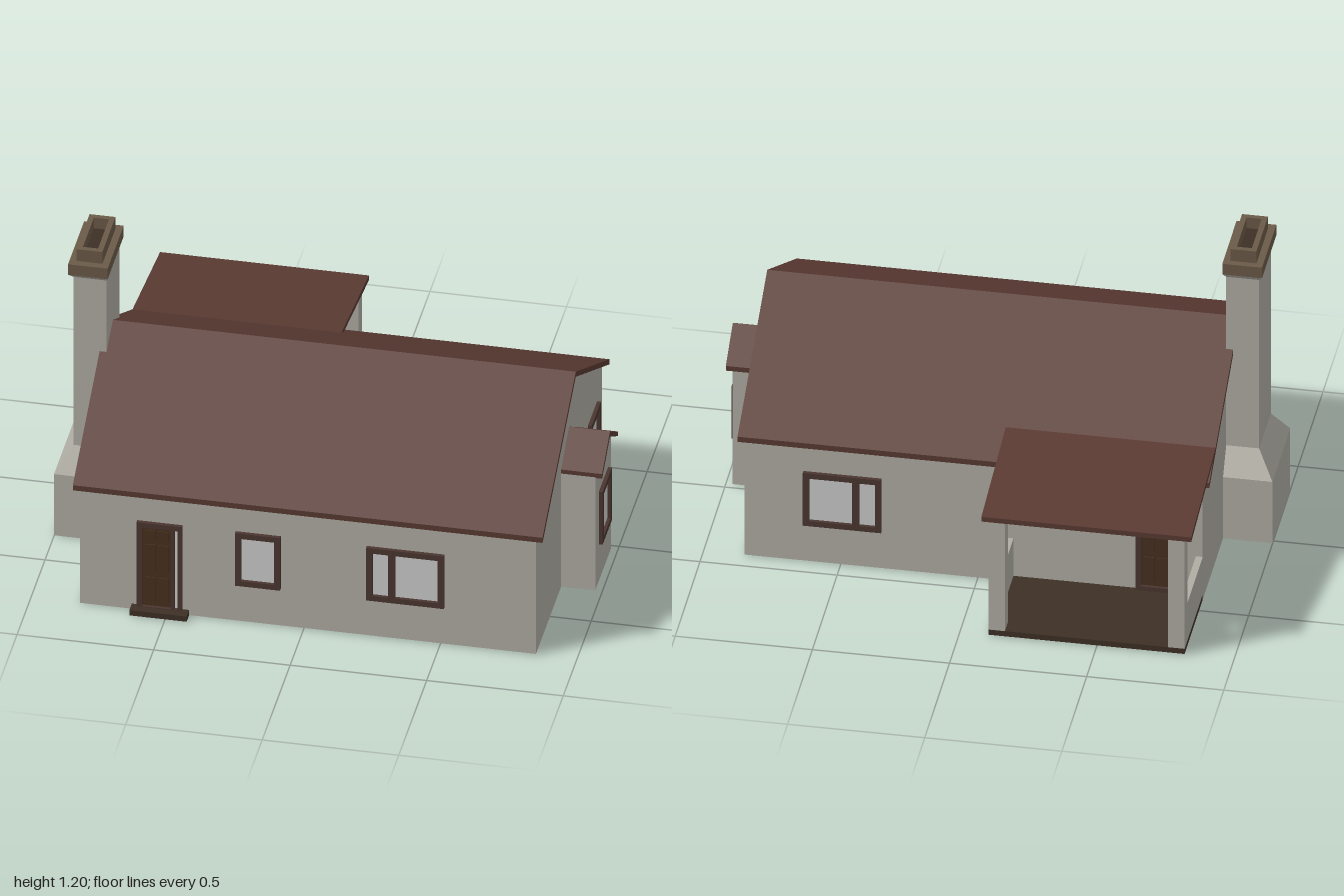
import * as THREE from 'three';

const paint = (color) => new THREE.MeshStandardMaterial({ color, flatShading: true });
const M = {
  wall: paint(0xb0ada3), roof: paint(0x5a3a32), trim: paint(0x4a3630), glass: paint(0xcccccc),
  door: paint(0x47301f), floor: paint(0x3d3025), cap: paint(0x6b5a48),
};

function add(parent, name, geometry, material) {
  const mesh = new THREE.Mesh(geometry, material);
  mesh.name = name;
  parent.add(mesh);
  return mesh;
}

// Box given by its two corners
function block(parent, name, material, [x0, x1], [y0, y1], [z0, z1]) {
  const g = new THREE.BoxGeometry(x1 - x0, y1 - y0, z1 - z0);
  g.translate((x0 + x1) / 2, (y0 + y1) / 2, (z0 + z1) / 2);
  return add(parent, name, g, material);
}

// Profile of [z, y] points extruded along x
function prism(parent, name, material, points, x0, x1) {
  const shape = new THREE.Shape(points.map((p) => new THREE.Vector2(...p)));
  const g = new THREE.ExtrudeGeometry(shape, { depth: x1 - x0, bevelEnabled: false });
  g.rotateY(-Math.PI / 2).translate(x1, 0, 0);
  return add(parent, name, g, material);
}

// Rectangles [x0, x1, z0, z1, y] joined from bottom to top, closed at both ends
function stack(parent, name, material, rings) {
  const pos = [], index = [];
  for (const [x0, x1, z0, z1, y] of rings) pos.push(x0, y, z1, x1, y, z1, x1, y, z0, x0, y, z0);
  for (let r = 0; r < rings.length - 1; r++) {
    for (let i = 0; i < 4; i++) {
      const a = r * 4 + i, b = r * 4 + (i + 1) % 4;
      index.push(a, b, b + 4, a, b + 4, a + 4);
    }
  }
  const t = (rings.length - 1) * 4;
  index.push(0, 2, 1, 0, 3, 2, t, t + 1, t + 2, t, t + 2, t + 3);
  let g = new THREE.BufferGeometry();
  g.setAttribute('position', new THREE.Float32BufferAttribute(pos, 3));
  g.setIndex(index);
  g = g.toNonIndexed();
  g.computeVertexNormals();
  return add(parent, name, g, material);
}

// Rectangular plate in the xy plane with rectangular holes [x0, x1, y0, y1]
function plate(x0, x1, y0, y1, holes, depth) {
  const corners = (a, b, c, d) => [[a, c], [b, c], [b, d], [a, d]].map((p) => new THREE.Vector2(...p));
  const shape = new THREE.Shape(corners(x0, x1, y0, y1));
  for (const h of holes) shape.holes.push(new THREE.Path(corners(...h).reverse()));
  return new THREE.ExtrudeGeometry(shape, { depth, bevelEnabled: false });
}

// Window facing +z, panes listed as [x0, x1] from its centre
function makeWindow(parent, name, width, panes, position, turn) {
  const g = new THREE.Group();
  g.name = name;
  const w = width / 2, holes = panes.map(([a, b]) => [a, b, 0.182, 0.363]);
  add(g, 'windowFrame', plate(-w, w, 0.16, 0.385, holes, 0.014), M.trim);
  for (const p of panes) block(g, 'windowPane', M.glass, p, [0.182, 0.363], [-0.005, 0.002]);
  g.position.set(...position);
  g.rotation.y = turn;
  parent.add(g);
}

// Panelled door with a narrow side light, facing +z
function makeDoor(parent, name, position, turn) {
  const g = new THREE.Group();
  g.name = name;
  const leaf = [-0.063, 0.043], light = [0.055, 0.068];
  const holes = [leaf, light].map(([a, b]) => [a, b, 0.028, 0.365]);
  add(g, 'doorFrame', plate(-0.083, 0.083, 0.01, 0.385, holes, 0.014), M.trim);
  block(g, 'doorLeaf', M.door, leaf, [0.028, 0.365], [-0.005, 0.003]);
  block(g, 'sideLight', M.glass, light, [0.028, 0.365], [-0.005, 0.002]);
  for (const x of [-0.053, -0.004])
    for (const [y0, y1] of [[0.05, 0.15], [0.18, 0.29], [0.31, 0.35]])
      block(g, 'doorPanel', M.door, [x, x + 0.037], [y0, y1], [0, 0.007]);
  g.position.set(...position);
  g.rotation.y = turn;
  parent.add(g);
}

export function createModel() {
  const model = new THREE.Group();
  model.name = 'cottage';

  // Gabled walls of the house and of the bay
  prism(model, 'houseWalls', M.wall,
    [[0.755, 0.003], [0.755, 0.49], [0.165, 0.818], [-0.43, 0.49], [-0.43, 0.003]], -0.82, 0.85);
  prism(model, 'bayWalls', M.wall,
    [[0.305, 0.003], [0.305, 0.488], [0.163, 0.578], [0.02, 0.488], [0.02, 0.003]], 0.84, 0.975);

  // Room floors, parted by the feet of the inner walls
  const rooms = [
    [-0.8, 0.13, -0.41, 0.735], [0.15, 0.83, -0.41, 0.27], [0.15, 0.83, 0.29, 0.735],
    [0.125, 0.155, 0.05, 0.2], [0.82, 0.955, 0.04, 0.27],
  ];
  for (const [x0, x1, z0, z1] of rooms) block(model, 'roomFloor', M.floor, [x0, x1], [0, 0.01], [z0, z1]);

  // Roofs
  prism(model, 'mainRoof', M.roof,
    [[0.76, 0.485], [0.76, 0.507], [0.165, 0.838], [-0.435, 0.507], [-0.435, 0.485], [0.165, 0.816]], -0.845, 0.875);
  prism(model, 'bayRoof', M.roof,
    [[0.305, 0.485], [0.305, 0.505], [0.163, 0.598], [0.02, 0.505], [0.02, 0.485], [0.163, 0.576]], 0.845, 1.0);
  prism(model, 'porchRoof', M.roof,
    [[-0.3, 0.578], [-0.8, 0.507], [-0.8, 0.487], [-0.34, 0.555]], -0.845, -0.08);

  // Porch floor, low side walls and corner posts
  block(model, 'porchFloor', M.floor, [-0.82, -0.105], [0.003, 0.025], [-0.795, -0.43]);
  for (const [side, x0, x1] of [[1, -0.82, -0.76], [-1, -0.165, -0.105]]) {
    const wall = side > 0 ? [x0, x0 + 0.025] : [x1 - 0.025, x1];
    block(model, 'porchSideWall', M.wall, wall, [0.025, 0.185], [-0.77, -0.425]);
    block(model, 'porchPost', M.wall, [x0, x1], [0.025, 0.493], [-0.795, -0.737]);
  }

  // Chimney with a sloped shoulder, flared cap and hollow top
  stack(model, 'chimneyStack', M.wall, [
    [-1, -0.815, -0.02, 0.34, 0.003], [-1, -0.815, -0.02, 0.34, 0.265],
    [-0.94, -0.82, 0.045, 0.28, 0.36], [-0.94, -0.82, 0.045, 0.28, 1.08],
    [-0.955, -0.81, 0.02, 0.308, 1.105],
  ]);
  block(model, 'chimneyCap', M.cap, [-0.955, -0.81], [1.105, 1.15], [0.02, 0.308]);
  const rim = plate(-0.93, -0.835, -0.28, -0.045, [[-0.91, -0.855, -0.26, -0.065]], 0.05);
  rim.rotateX(-Math.PI / 2).translate(0, 1.15, 0);
  add(model, 'chimneyRim', rim, M.cap);
  block(model, 'chimneyFlue', M.floor, [-0.91, -0.855], [1.14, 1.155], [0.065, 0.26]);

  // Windows
  const single = [[-0.061, 0.061]], wide = [[-0.12, -0.062], [-0.037, 0.12]];
  const wideMirrored = wide.map(([a, b]) => [-b, -a]).reverse();
  makeWindow(model, 'frontWindow', 0.165, single, [-0.167, 0, 0.755], 0);
  makeWindow(model, 'frontWideWindow', 0.285, wide, [0.373, 0, 0.755], 0);
  makeWindow(model, 'backWideWindow', 0.285, wideMirrored, [0.493, 0, -0.43], Math.PI);
  makeWindow(model, 'sideWindow', 0.165, single, [0.85, 0, -0.257], Math.PI / 2);
  makeWindow(model, 'bayWindow', 0.165, single, [0.975, 0, 0.158], Math.PI / 2);

  // Doors and the front step
  makeDoor(model, 'frontDoor', [-0.527, 0, 0.755], 0);
  makeDoor(model, 'porchDoor', [-0.66, 0.015, -0.43], Math.PI);
  block(model, 'frontStep', M.floor, [-0.63, -0.42], [0.003, 0.025], [0.745, 0.8]);

  return model;
}
